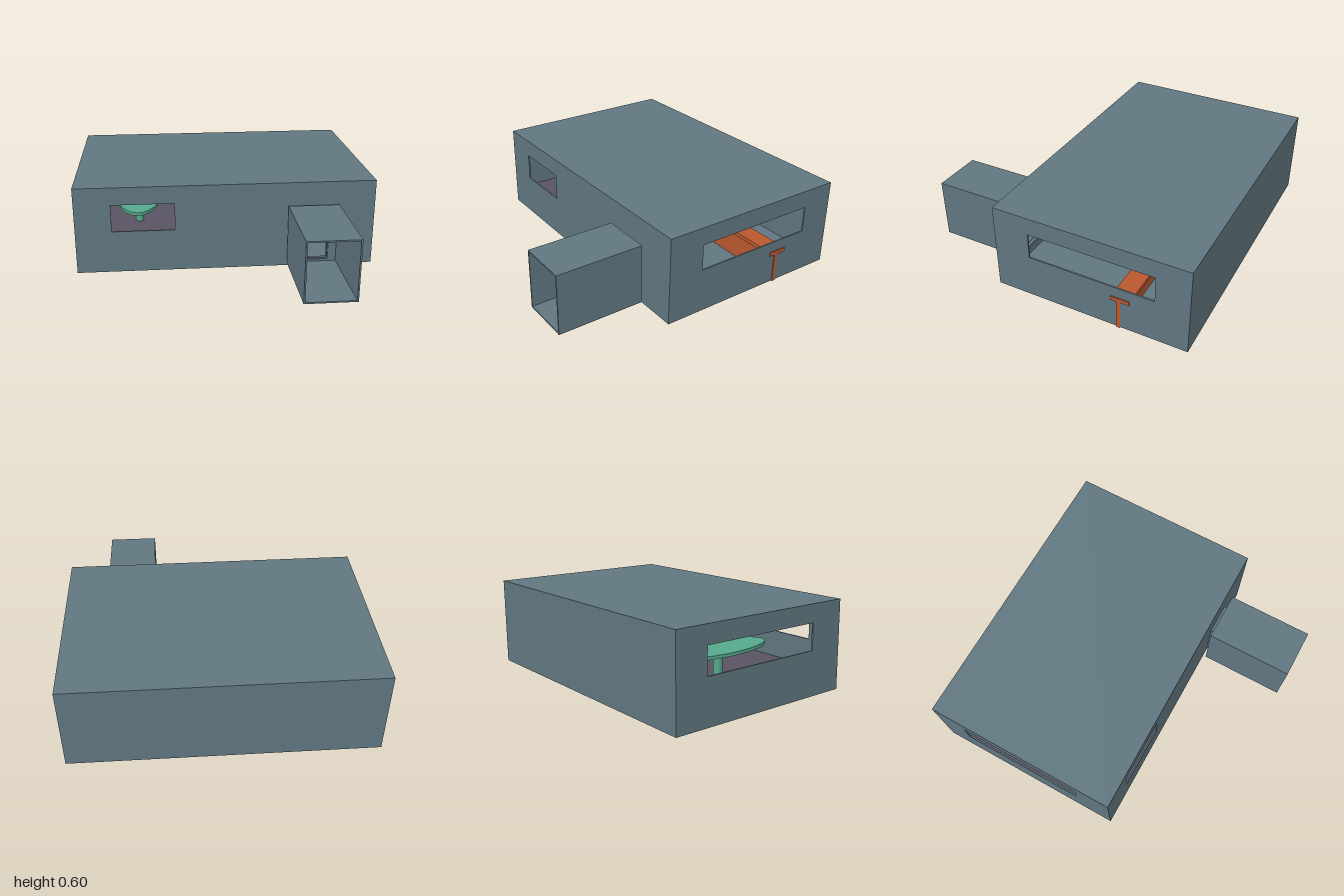
import * as THREE from 'three';

const T = 0.01; // wall thickness
const mat = (color) => new THREE.MeshStandardMaterial({ color, side: THREE.DoubleSide });

export function createModel() {
  const model = new THREE.Group();
  const wallMat = mat(0x607680), orange = mat(0xb9582f), green = mat(0x55a88c), purple = mat(0x5a5362);

  const add = (parent, name, geometry, material) => {
    const mesh = new THREE.Mesh(geometry, material);
    mesh.name = name;
    parent.add(mesh);
    return mesh;
  };

  // Box given by its limits on each axis
  const box = (parent, name, material, [x0, x1], [y0, y1], [z0, z1]) => {
    const mesh = add(parent, name, new THREE.BoxGeometry(x1 - x0, y1 - y0, z1 - z0), material);
    mesh.position.set((x0 + x1) / 2, (y0 + y1) / 2, (z0 + z1) / 2);
    return mesh;
  };

  // Upright wall with an optional rectangular opening, drawn in its own plane
  const trace = (path, [u0, u1], [v0, v1]) =>
    path.moveTo(u0, v0).lineTo(u1, v0).lineTo(u1, v1).lineTo(u0, v1).closePath();
  const wall = (parent, name, u, v, holes) => {
    const shape = trace(new THREE.Shape(), u, v);
    for (const [hu, hv] of holes) shape.holes.push(trace(new THREE.Path(), hu, hv));
    return add(parent, name, new THREE.ExtrudeGeometry(shape, { depth: T, bevelEnabled: false }), wallMat);
  };
  const group = (name) => {
    const g = new THREE.Group();
    g.name = name;
    model.add(g);
    return g;
  };

  // Building shell
  const X = [-1, 0.993], Y = [0.003, 0.595], Z = [-0.965, 0.352];
  const door = [[0.47, 0.68], [0.055, 0.37]];
  const shell = group('buildingShell');
  box(shell, 'floor', wallMat, X, [Y[0], Y[0] + T], Z);
  box(shell, 'roof', wallMat, X, [Y[1] - T, Y[1]], Z);
  box(shell, 'backWall', wallMat, X, Y, [Z[0], Z[0] + T]);
  wall(shell, 'frontWall', X, Y, [[[-0.76, -0.345], [0.29, 0.475]], door]).position.z = Z[1] - T;
  for (const [name, x] of [['leftWall', X[1]], ['rightWall', X[0] + T]]) {
    const side = wall(shell, name, Z, Y, [[[-0.745, 0.105], [0.3, 0.475]]]);
    side.rotation.y = -Math.PI / 2;
    side.position.x = x;
  }

  // Entrance tunnel, open at the front, joined to the door by a short neck
  const tube = (parent, name, [x0, x1], [y0, y1], z) => {
    box(parent, name + 'Floor', wallMat, [x0, x1], [y0, y0 + T], z);
    box(parent, name + 'Roof', wallMat, [x0, x1], [y1 - T, y1], z);
    box(parent, name + 'RightSide', wallMat, [x0, x0 + T], [y0, y1], z);
    box(parent, name + 'LeftSide', wallMat, [x1 - T, x1], [y0, y1], z);
  };
  const entrance = group('entranceTunnel');
  const tx = [0.405, 0.745], ty = [0.03, 0.44];
  tube(entrance, 'tunnel', tx, ty, [0.375, 0.965]);
  wall(entrance, 'tunnelEndWall', tx, ty, [door]).position.z = 0.375;
  tube(entrance, 'neck', [door[0][0] - 0.003, door[0][1] + 0.003], [0.052, 0.373], [Z[1], 0.376]);

  // L-shaped counter: thin panels under a wider top
  const counter = group('counter');
  box(counter, 'frontPanel', orange, [0.18, 0.998], [0, 0.203], [-0.525, -0.5]);
  box(counter, 'sidePanel', orange, [0.18, 0.205], [0, 0.203], [-0.79, -0.525]);
  box(counter, 'frontTop', orange, [0.13, 1], [0.203, 0.23], [-0.587, -0.462]);
  box(counter, 'sideTop', orange, [0.13, 0.255], [0.203, 0.23], [-0.79, -0.587]);

  // Raised platform with two steps down
  const platform = group('raisedPlatform');
  const depth = [Z[0] + T, Z[1] - 0.002];
  [[-0.99, -0.16, 0.11], [-0.16, -0.105, 0.073], [-0.105, -0.05, 0.037]].forEach(([x0, x1, h], i) =>
    box(platform, i ? 'step' + i : 'deck', purple, [x0, x1], [0.005, h], depth));

  // Oval table on a pedestal
  const table = group('ovalTable');
  table.position.set(-0.592, 0, -0.31);
  const top = add(table, 'tableTop', new THREE.CylinderGeometry(1, 1, 0.022, 32), green);
  top.scale.set(0.155, 1, 0.38);
  top.position.y = 0.299;
  const leg = add(table, 'pedestal', new THREE.CylinderGeometry(0.03, 0.03, 0.18, 16), green);
  leg.position.y = 0.2;

  return model;
}
